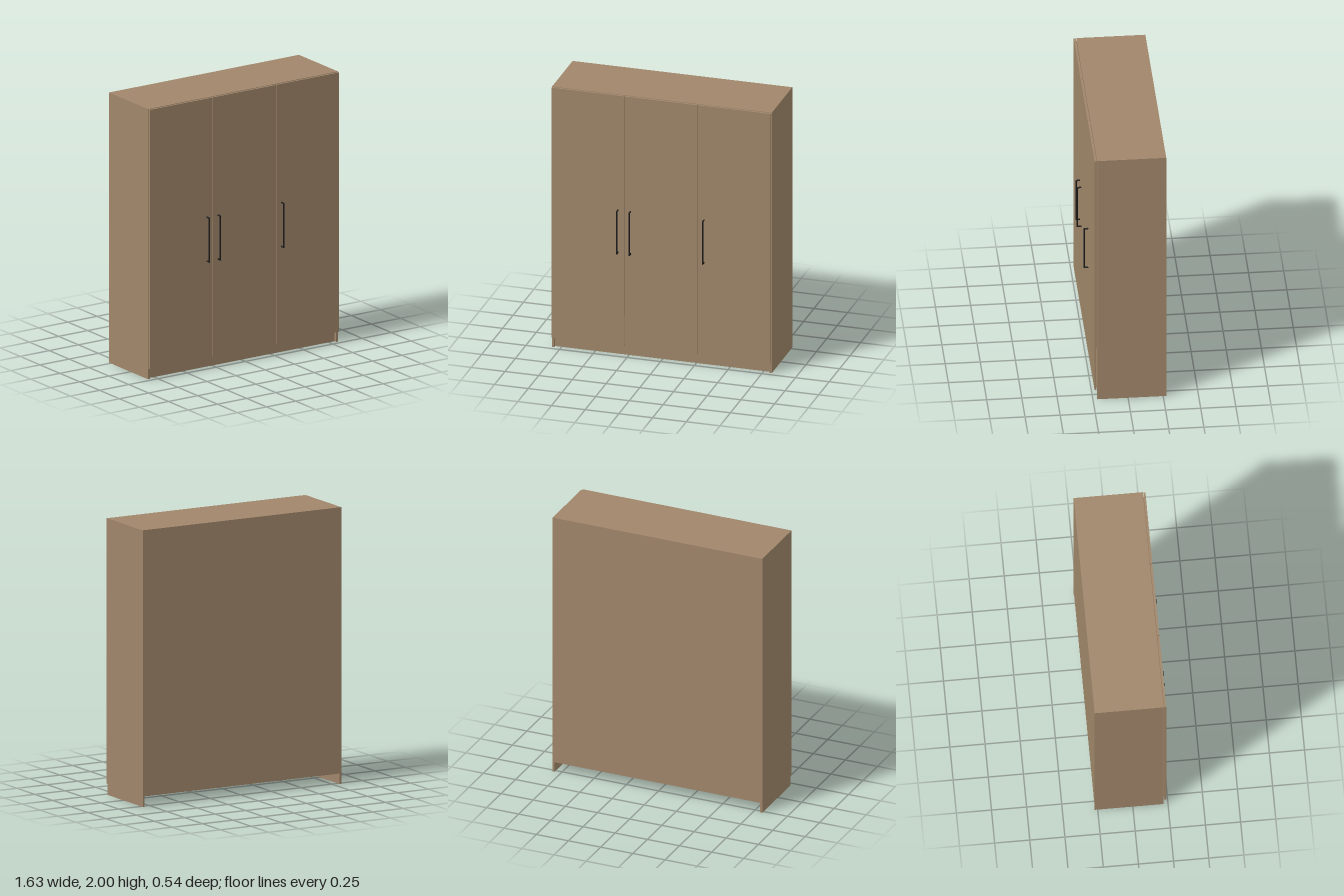
import * as THREE from 'three';

export function createModel() {
  const wood = new THREE.MeshStandardMaterial({ color: 0xa0866a });
  wood.name = 'wood';
  const black = new THREE.MeshStandardMaterial({ color: 0x1a1a1a });
  black.name = 'black metal';

  const wardrobe = new THREE.Group();
  wardrobe.name = 'wardrobe';

  // Box given by its lower and upper limits on each axis
  const panel = (name, [x0, x1], [y0, y1], [z0, z1]) => {
    const mesh = new THREE.Mesh(new THREE.BoxGeometry(x1 - x0, y1 - y0, z1 - z0), wood);
    mesh.name = name;
    mesh.position.set((x0 + x1) / 2, (y0 + y1) / 2, (z0 + z1) / 2);
    wardrobe.add(mesh);
  };

  const W = 0.815, T = 0.016, BACK = -0.272, FRONT = 0.219, BASE = 0.075;
  const inner = [-W + T, W - T];

  // Carcass
  panel('rightSide', [-W, -W + T], [0, 2], [BACK, FRONT]);
  panel('leftSide', [W - T, W], [0, 2], [BACK, FRONT]);
  panel('topPanel', inner, [2 - T, 2], [BACK, FRONT]);
  panel('bottomPanel', inner, [BASE, BASE + T], [BACK + 0.006, FRONT]);
  panel('backPanel', inner, [BASE, 2 - T], [BACK, BACK + 0.006]);
  panel('plinth', inner, [0, BASE], [FRONT - 0.036, FRONT - 0.02]);
  panel('divider', [0.272 - T / 2, 0.272 + T / 2], [BASE + T, 2 - T], [BACK + 0.006, FRONT]);

  // Three equal doors with narrow gaps
  const pitch = 0.5433, gap = 0.003;
  for (const i of [-1, 0, 1]) {
    const c = i * pitch, h = pitch / 2 - gap;
    panel('door' + (i + 2), [c - h, c + h], [0.078, 1.998], [0.223, 0.238]);
  }

  // Bow handles: an upright bar on two posts
  const r = 0.0055, zBar = 0.272 - r, y0 = 0.795, y1 = 1.12;
  const rod = (group, name, length) => {
    const mesh = new THREE.Mesh(new THREE.CylinderGeometry(r, r, length, 16), black);
    mesh.name = name;
    group.add(mesh);
    return mesh;
  };
  [-0.32, -0.227, 0.317].forEach((x, i) => {
    const handle = new THREE.Group();
    handle.name = 'handle' + (i + 1);
    handle.position.x = x;
    rod(handle, 'handleBar', y1 - y0).position.set(0, (y0 + y1) / 2, zBar);
    for (const y of [y0, y1]) {
      const post = rod(handle, 'handlePost', zBar - 0.237);
      post.rotation.x = Math.PI / 2;
      post.position.set(0, y, (zBar + 0.237) / 2);
      const corner = new THREE.Mesh(new THREE.SphereGeometry(r, 16, 10), black);
      corner.name = 'handleCorner';
      corner.position.set(0, y, zBar);
      handle.add(corner);
    }
    wardrobe.add(handle);
  });

  return wardrobe;
}
